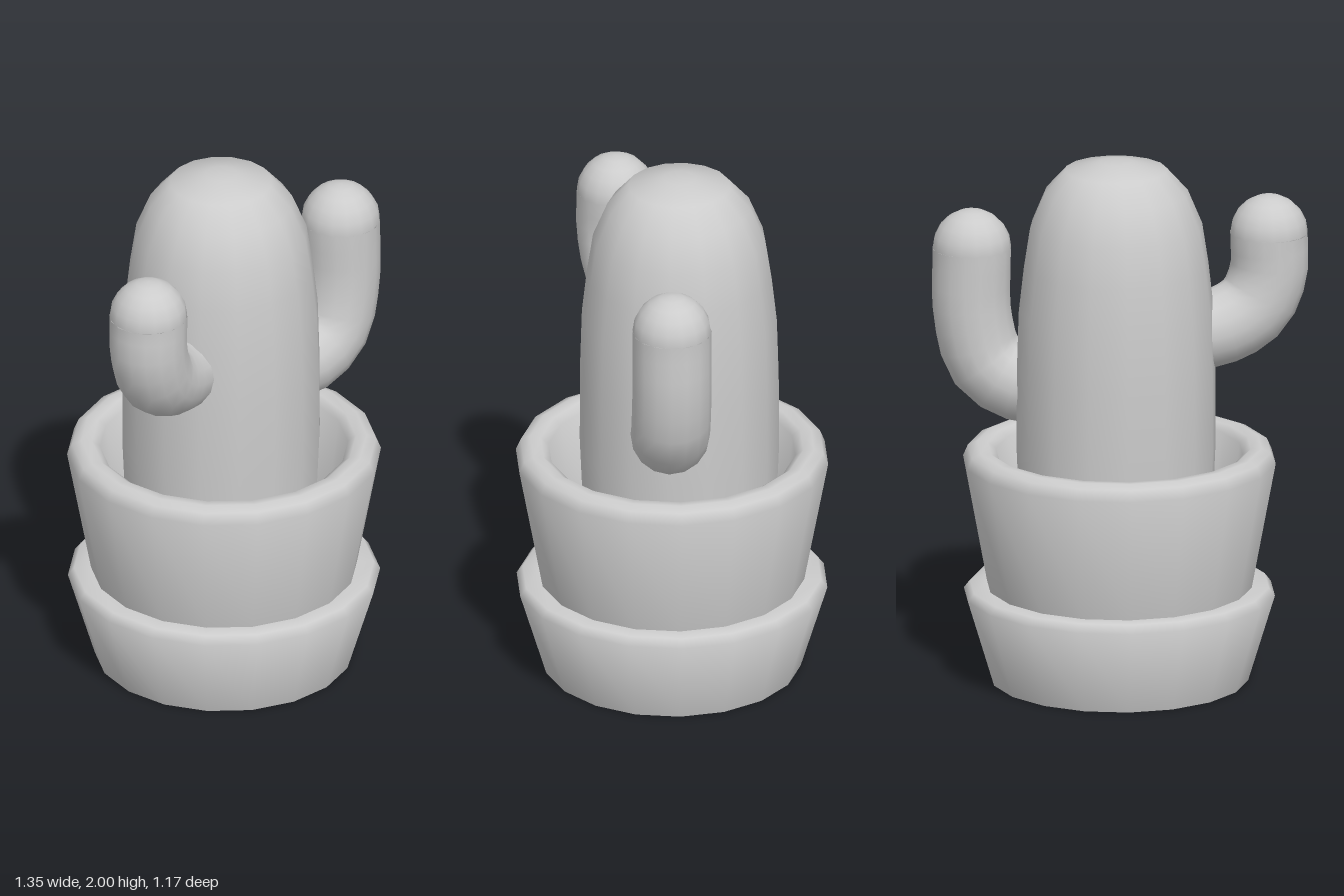
import * as THREE from 'three';
import { toCreasedNormals } from 'three/addons/utils/BufferGeometryUtils.js';

const material = new THREE.MeshStandardMaterial({ color: 0xcccccc, side: THREE.DoubleSide });

function addMesh(parent, name, geometry) {
  const mesh = new THREE.Mesh(geometry, material);
  mesh.name = name;
  parent.add(mesh);
  return mesh;
}

// Turned part from [radius, height] pairs, keeping sharp edges
function turned(profile, sides) {
  const points = profile.map(([r, y]) => new THREE.Vector2(r, y));
  return toCreasedNormals(new THREE.LatheGeometry(points, sides), 1.1);
}

// Bent arm: a tube along a path, closed by a dome on its upright end
function createArm(name, path, radius) {
  const arm = new THREE.Group();
  arm.name = name;
  const points = path.map((p) => new THREE.Vector3(...p));
  const curve = new THREE.CatmullRomCurve3(points, false, 'centripetal');
  addMesh(arm, name + 'Stem', new THREE.TubeGeometry(curve, 10, radius, 16, false));
  const dome = new THREE.SphereGeometry(radius, 16, 5, 0, Math.PI * 2, 0, Math.PI / 2);
  addMesh(arm, name + 'Tip', dome).position.copy(points[points.length - 1]);
  return arm;
}

export function createModel() {
  const model = new THREE.Group();
  model.name = 'pottedCactus';

  // Saucer, open underneath
  const saucer = turned([[0.48, 0], [0.58, 0.33], [0.557, 0.36], [0.49, 0.36]], 18);
  addMesh(model, 'saucer', saucer).position.x = -0.03;

  // Pot with a bevelled rim, tapered inside wall and floor
  const pot = turned([
    [0, 0.355], [0.493, 0.355], [0.583, 0.84], [0.565, 0.882], [0.53, 0.897],
    [0.49, 0.893], [0.46, 0.87], [0.4, 0.4], [0, 0.4],
  ], 18);
  addMesh(model, 'pot', pot).position.x = -0.03;

  // Cactus body, tapering to a round top
  const body = turned([
    [0.35, 0.4], [0.372, 0.9], [0.371, 1.2], [0.364, 1.43], [0.345, 1.6], [0.322, 1.75],
    [0.268, 1.88], [0.19, 1.967], [0.06, 1.998], [0, 2],
  ], 16);
  addMesh(model, 'cactusBody', body).position.set(-0.025, 0, -0.028);

  // Arms
  model.add(createArm('leftArm', [
    [0.2, 1.11, -0.03], [0.36, 1.125, -0.035], [0.47, 1.2, -0.05],
    [0.52, 1.38, -0.06], [0.522, 1.633, -0.06],
  ], 0.147));
  model.add(createArm('rightArm', [
    [-0.22, 1.32, 0.08], [-0.37, 1.335, 0.17], [-0.48, 1.405, 0.235],
    [-0.53, 1.53, 0.265], [-0.532, 1.683, 0.265],
  ], 0.145));
  return model;
}
